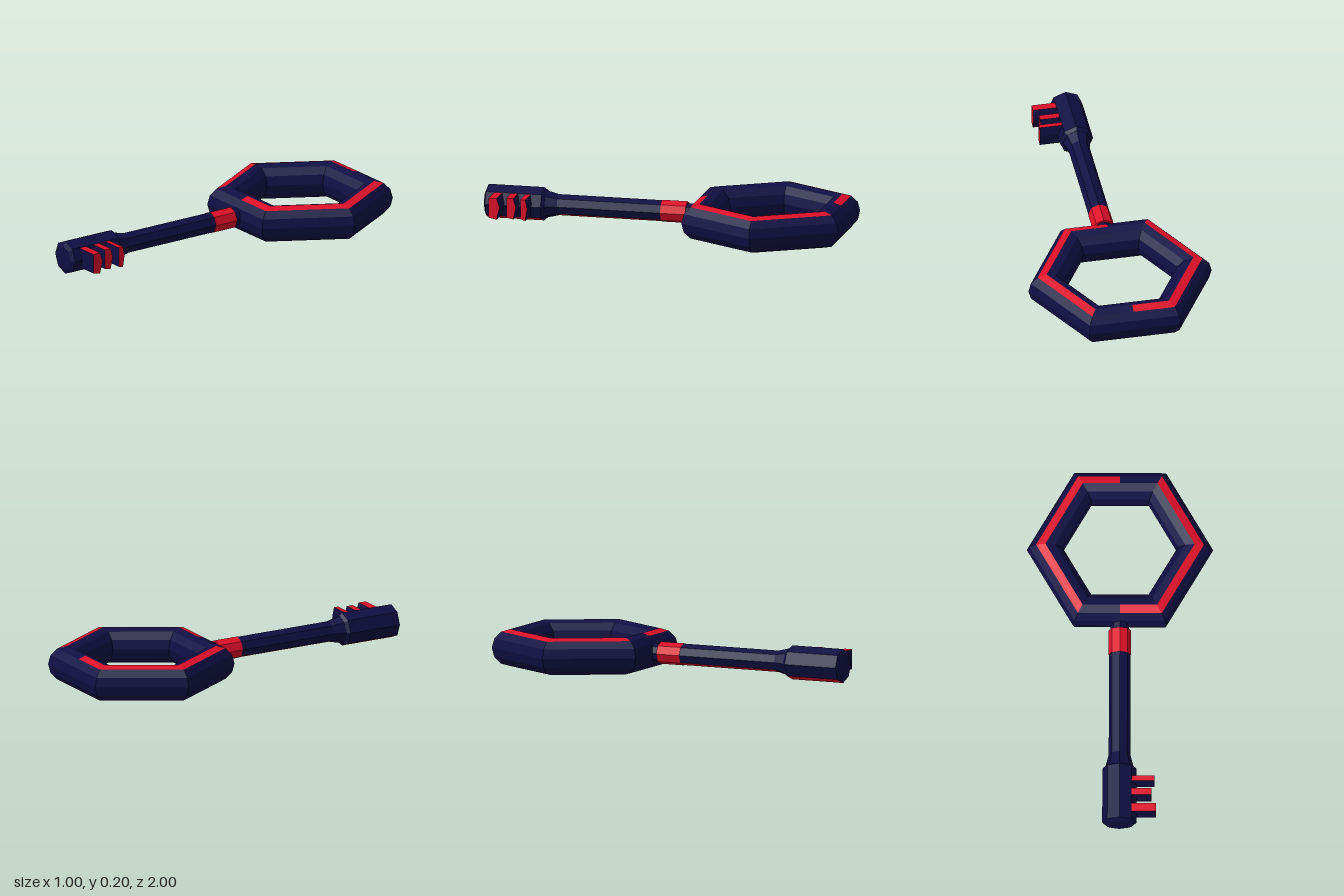
import * as THREE from 'three';

const navy = new THREE.MeshStandardMaterial({ color: 0x0f0f44 });
navy.name = 'navy';
const red = new THREE.MeshStandardMaterial({ color: 0xe01029 });
red.name = 'red';
const NAVY = 0, RED = 1;
const MID = 0.1; // height of the key's centre line

// Flat-faced skin over a row of loops; colourAt(segment, side) picks the material of each face.
function loft(name, loops, colourAt, { closed = false, cap = NAVY } = {}) {
  const faces = [[], []];
  const tri = (m, ...pts) => pts.forEach((p) => faces[m].push(...p));
  const n = loops[0].length;
  const segments = closed ? loops.length : loops.length - 1;
  for (let i = 0; i < segments; i++) {
    const A = loops[i], B = loops[(i + 1) % loops.length];
    for (let j = 0; j < n; j++) {
      const k = (j + 1) % n, m = colourAt(i, j);
      tri(m, A[j], A[k], B[k]);
      tri(m, A[j], B[k], B[j]);
    }
  }
  if (!closed) {
    const A = loops[0], B = loops[loops.length - 1];
    for (let j = 1; j < n - 1; j++) {
      tri(cap, A[0], A[j + 1], A[j]);
      tri(cap, B[0], B[j], B[j + 1]);
    }
  }
  const geometry = new THREE.BufferGeometry();
  geometry.setAttribute('position', new THREE.Float32BufferAttribute([...faces[0], ...faces[1]], 3));
  geometry.addGroup(0, faces[0].length / 3, NAVY);
  geometry.addGroup(faces[0].length / 3, faces[1].length / 3, RED);
  geometry.computeVertexNormals();
  const mesh = new THREE.Mesh(geometry, [navy, red]);
  mesh.name = name;
  return mesh;
}

// Octagonal loops along z from [z, radius] pairs
const octagons = (profile) => profile.map(([z, r]) =>
  Array.from({ length: 8 }, (_, j) => {
    const t = (j * Math.PI) / 4;
    return [r * Math.cos(t), MID + r * Math.sin(t), z];
  }));

// The two faces beside the bottom edge
const underside = (j) => (j === 5 || j === 6 ? RED : NAVY);

export function createModel() {
  const key = new THREE.Group();
  key.name = 'key';

  // Hexagonal bow, with the front and back sides split in the middle for the stripe ends
  const bowLoops = [0, 60, 90, 120, 180, 240, 270, 300].map((deg) => {
    const a = THREE.MathUtils.degToRad(deg);
    const scale = deg % 60 ? Math.cos(Math.PI / 6) : 1;
    return Array.from({ length: 12 }, (_, j) => {
      const t = (j * Math.PI) / 6;
      const r = (0.4 + 0.1 * Math.cos(t)) * scale;
      return [r * Math.cos(a), MID + 0.1 * Math.sin(t), -0.567 + r * Math.sin(a)];
    });
  });
  key.add(loft('bow', bowLoops,
    (i, j) => (j === 2 && i !== 2 && i !== 6 ? RED : NAVY), { closed: true }));

  // Neck, cuff and shaft
  key.add(loft('neck', octagons([[-0.2, 0.047], [-0.105, 0.05]]), () => NAVY));
  key.add(loft('cuff', octagons([[-0.108, 0.06], [0.03, 0.06]]), () => RED, { cap: RED }));
  key.add(loft('shaft', octagons([[0.03, 0.058], [0.6, 0.058], [0.67, 0.076]]),
    (i, j) => (i === 0 ? underside(j) : NAVY)));

  // Thick end of the shaft
  key.add(loft('head', octagons([[0.665, 0.076], [0.682, 0.092], [0.988, 0.092], [1, 0.065]]),
    (i, j) => (i === 1 ? underside(j) : NAVY)));

  // Teeth: front z, back z, reach in x
  const teeth = new THREE.Group();
  teeth.name = 'teeth';
  for (const [front, back, reach] of [[0.943, 0.882, 0.195], [0.85, 0.798, 0.172], [0.769, 0.732, 0.188]]) {
    const slant = (front - back) * 0.28;
    const section = [[back + slant, 0.163], [front, 0.163], [front, 0.055], [back + slant, 0.047], [back, 0.112]];
    const loops = [0.05, reach].map((x) => section.map(([z, y]) => [x, y, z]));
    teeth.add(loft('tooth', loops, (i, j) => (j === 0 || j === 2 ? RED : NAVY), { cap: RED }));
  }
  key.add(teeth);

  return key;
}
